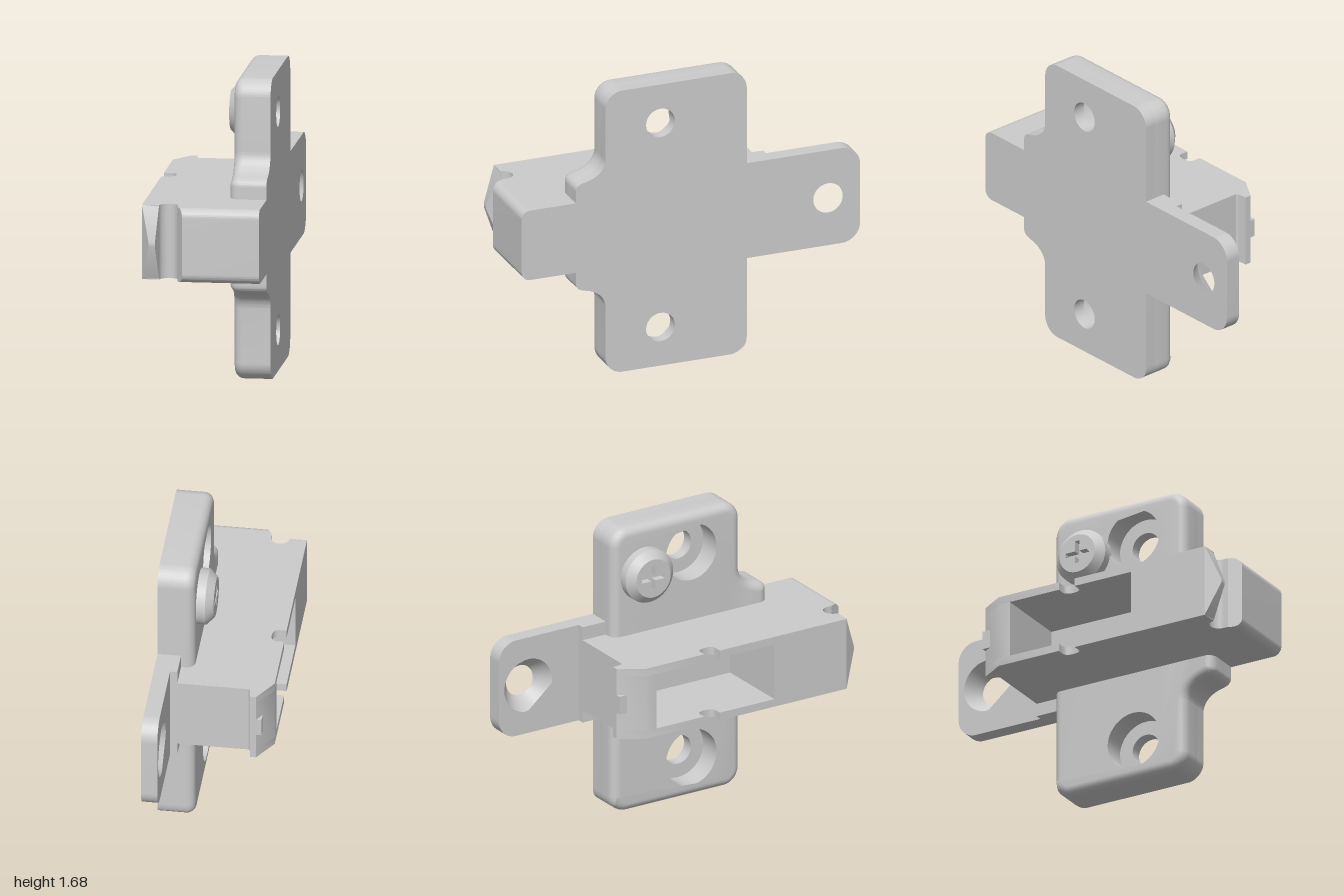
import * as THREE from 'three';
import { toCreasedNormals } from 'three/addons/utils/BufferGeometryUtils.js';
import { ConvexGeometry } from 'three/addons/geometries/ConvexGeometry.js';

const material = new THREE.MeshStandardMaterial({ color: 0xcccccc });
const Y0 = 0.635, Y1 = 1.05, MID = 0.843;

function add(group, name, geometry) {
  const mesh = new THREE.Mesh(toCreasedNormals(geometry, 0.6), material);
  mesh.name = name;
  group.add(mesh);
}

function box(x0, x1, y0, y1, z0, z1) {
  return new THREE.BoxGeometry(x1 - x0, y1 - y0, z1 - z0)
    .translate((x0 + x1) / 2, (y0 + y1) / 2, (z0 + z1) / 2);
}

// Shape drawn in (z, y), filling x0..x1
function extrudeX(shape, x0, x1, bevel = 0) {
  return new THREE.ExtrudeGeometry(shape, {
    depth: x1 - x0 - 2 * bevel, curveSegments: 24, bevelEnabled: bevel > 0,
    bevelSize: bevel, bevelThickness: bevel, bevelOffset: -bevel, bevelSegments: 6,
  }).rotateY(-Math.PI / 2).translate(x1 - bevel, 0, 0);
}

// Shape drawn in (x, z), filling y0..y1
function extrudeY(shape, y0, y1) {
  return new THREE.ExtrudeGeometry(shape, { depth: y1 - y0, bevelEnabled: false, curveSegments: 16 })
    .rotateX(Math.PI / 2).translate(0, y1, 0);
}

function moveVertices(geometry, rule) {
  const p = geometry.attributes.position, v = new THREE.Vector3();
  for (let i = 0; i < p.count; i++) {
    rule(v.fromBufferAttribute(p, i));
    p.setXYZ(i, v.x, v.y, v.z);
  }
  return geometry;
}

// Puts vertices close to a hole's centre onto a circle of radius r
function setRadius(v, z, y, r) {
  const s = r / Math.hypot(v.z - z, v.y - y);
  v.z = z + (v.z - z) * s;
  v.y = y + (v.y - y) * s;
}

function circleHole(shape, z, y, r) {
  shape.holes.push(new THREE.Path().absarc(z, y, r, 0, Math.PI * 2, true));
}

const plateHoles = [[0.18, 0.23], [0.18, 1.45]];

function plateShape(holeRadius) {
  const s = new THREE.Shape();
  s.moveTo(-0.33, 0.1);
  s.quadraticCurveTo(-0.33, 0.045, -0.301, 0.029);
  s.absarc(-0.23, 0.1, 0.1, Math.PI * 1.25, Math.PI * 1.5, false);
  s.lineTo(0.405, 0);
  s.absarc(0.405, 0.1, 0.1, -Math.PI / 2, 0, false);
  s.lineTo(0.505, 0.4);
  s.bezierCurveTo(0.505, 0.46, 0.55, 0.5, 0.61, 0.515);
  s.bezierCurveTo(0.65, 0.525, 0.68, 0.53, 0.68, 0.57);
  s.lineTo(0.68, 1.115);
  s.bezierCurveTo(0.68, 1.155, 0.65, 1.16, 0.61, 1.17);
  s.bezierCurveTo(0.55, 1.185, 0.505, 1.225, 0.505, 1.285);
  s.lineTo(0.505, 1.58);
  s.absarc(0.405, 1.58, 0.1, 0, Math.PI / 2, false);
  s.lineTo(-0.23, 1.68);
  s.absarc(-0.23, 1.58, 0.1, Math.PI / 2, Math.PI, false);
  s.closePath();
  for (const [z, y] of plateHoles) circleHole(s, z, y, holeRadius);
  return s;
}

// Arm cross-section: wall layers get a small notch, the middle layer the pocket
function armShape(pocket) {
  const s = new THREE.Shape();
  s.moveTo(0.33, -0.48);
  s.lineTo(0.33, 0.93);
  s.lineTo(-0.13, 0.93);
  s.lineTo(-0.13, 0.903);
  s.absarc(-0.1825, 0.903, 0.0525, 0, -Math.PI, true);
  s.lineTo(-0.33, 0.9);
  if (pocket) {
    for (const [x, z] of [[-0.33, 0.43], [0.12, 0.43], [0.12, -0.34], [-0.33, -0.34]]) s.lineTo(x, z);
  } else {
    s.lineTo(-0.33, 0.073);
    s.lineTo(-0.29, 0.073);
    s.quadraticCurveTo(-0.255, 0.073, -0.255, 0.022);
    s.quadraticCurveTo(-0.255, -0.028, -0.29, -0.028);
    s.lineTo(-0.33, -0.028);
  }
  for (const [x, z] of [[-0.33, -0.41], [-0.245, -0.545], [-0.21, -0.545], [-0.205, -0.49], [-0.195, -0.48]]) s.lineTo(x, z);
  s.closePath();
  return s;
}

export function createModel() {
  const model = new THREE.Group();
  model.name = 'mountingPlate';

  // Cross plate: flat back with small holes, rounded front with counterbores
  add(model, 'plateBack', extrudeX(plateShape(0.085), 0.26, 0.33));
  const front = moveVertices(extrudeX(plateShape(0.165), 0.125, 0.31, 0.05), (v) => {
    for (const [z, y] of plateHoles) {
      if (Math.hypot(v.z - z, v.y - y) < 0.23) setRadius(v, z, y, 0.165);
    }
  });
  add(model, 'plateFront', front);

  // Rear tab with countersunk hole
  const tab = new THREE.Shape();
  tab.moveTo(-0.3, 0.56);
  tab.lineTo(-0.3, 1.127);
  tab.lineTo(-0.89, 1.127);
  tab.absarc(-0.89, 1.017, 0.11, Math.PI / 2, Math.PI, false);
  tab.lineTo(-1, 0.67);
  tab.absarc(-0.89, 0.67, 0.11, Math.PI, Math.PI * 1.5, false);
  tab.closePath();
  circleHole(tab, -0.81, MID, 0.087);
  add(model, 'rearTab', moveVertices(extrudeX(tab, 0.24, 0.33), (v) => {
    if (v.x < 0.25 && Math.hypot(v.z + 0.81, v.y - MID) < 0.1) setRadius(v, -0.81, MID, 0.155);
  }));
  add(model, 'tabStep', box(0.2, 0.33, 0.56, 1.127, -0.48, -0.3));

  // Arm: two walls around a pocketed middle
  add(model, 'armBottomWall', extrudeY(armShape(false), Y0, 0.68));
  add(model, 'armMiddle', extrudeY(armShape(true), 0.68, 1.005));
  add(model, 'armTopWall', extrudeY(armShape(false), 1.005, Y1));
  add(model, 'rearCatch', box(-0.275, -0.22, 0.79, 0.895, -0.545, -0.46));

  // Rounded arm end with a slanted inner side
  const end = new THREE.Shape();
  end.moveTo(0.93, Y0);
  end.lineTo(0.95, Y0);
  end.absarc(0.95, Y0 + 0.05, 0.05, -Math.PI / 2, 0, false);
  end.absarc(0.95, Y1 - 0.05, 0.05, 0, Math.PI / 2, false);
  end.lineTo(0.93, Y1);
  end.closePath();
  add(model, 'armEnd', moveVertices(extrudeX(end, -0.13, 0.33), (v) => {
    if (v.x < 0) v.x += (v.z - 0.93) * 0.5;
  }));

  // Wedge-shaped front tooth
  const tooth = [];
  for (const side of [-1, 1]) {
    for (const x of [-0.33, -0.235]) tooth.push(new THREE.Vector3(x, MID + side * (Y1 - Y0) / 2, 0.9));
    for (const x of [-0.283, -0.248]) tooth.push(new THREE.Vector3(x, MID + side * 0.012, 0.978));
  }
  add(model, 'frontTooth', new ConvexGeometry(tooth));

  // Screw head with chamfered rim and cross recess
  const screw = new THREE.Group();
  screw.name = 'screw';
  const cz = -0.125, cy = 1.395, a = 0.075, b = 0.014;
  const head = new THREE.Shape().absarc(cz, cy, 0.155, 0, Math.PI * 2, false);
  const cross = [];
  for (let i = 0; i < 4; i++) {
    for (const [u, w] of [[a, b], [a, -b], [b, -b]]) {
      const t = -i * Math.PI / 2, c = Math.cos(t), s = Math.sin(t);
      cross.push(new THREE.Vector2(cz + u * c - w * s, cy + u * s + w * c));
    }
  }
  head.holes.push(new THREE.Path(cross));
  add(screw, 'screwHead', moveVertices(extrudeX(head, 0.033, 0.075), (v) => {
    if (v.x < 0.05 && Math.hypot(v.z - cz, v.y - cy) > 0.14) setRadius(v, cz, cy, 0.112);
  }));
  add(screw, 'screwCollar', new THREE.CylinderGeometry(0.155, 0.155, 0.065, 48)
    .rotateZ(Math.PI / 2).translate(0.1075, cy, cz));
  model.add(screw);

  return model;
}
